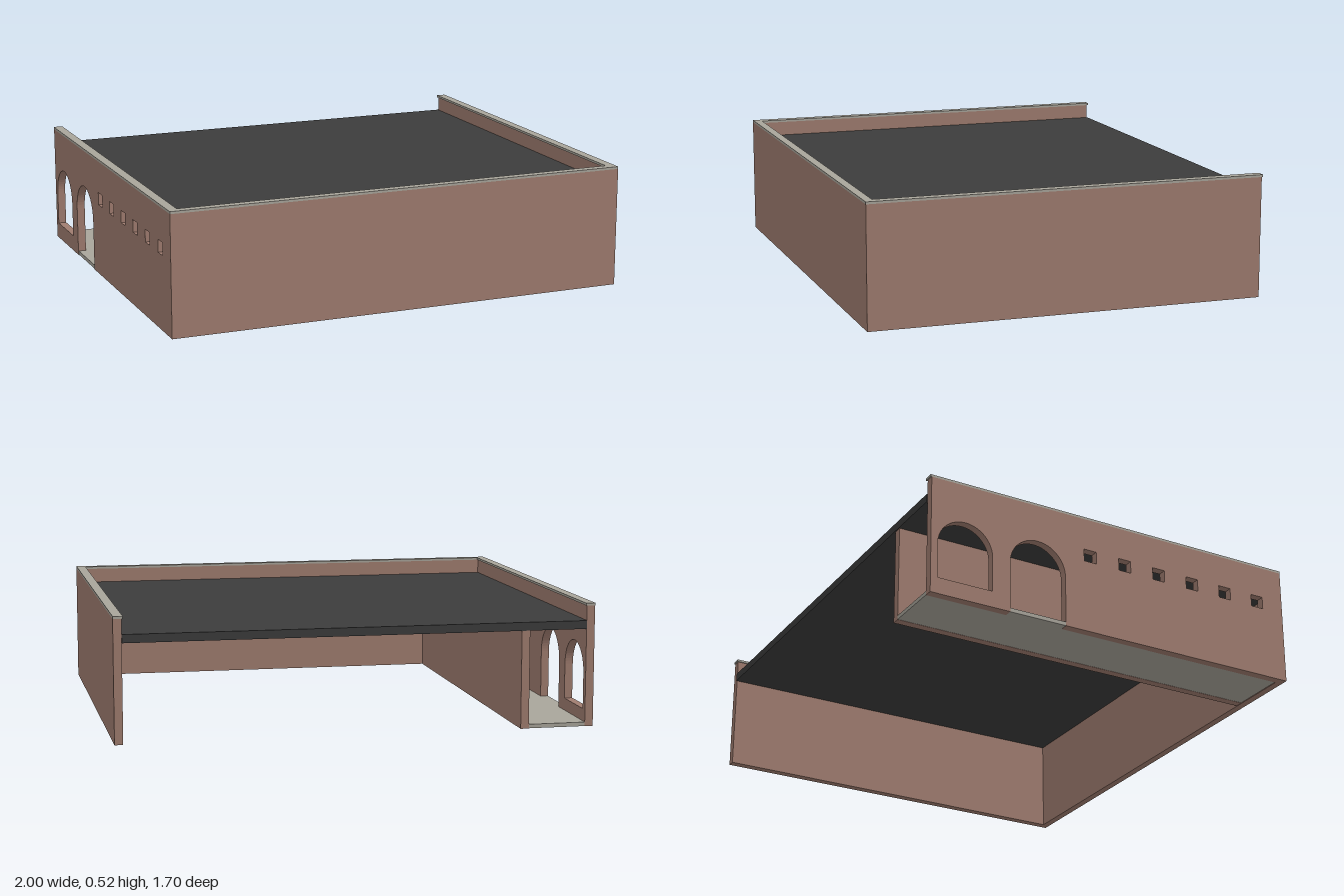
import * as THREE from 'three';

const X = 1, Z = 0.845, H = 0.52;   // half width, half depth, full height
const T = 0.035;                    // wall thickness
const CAP = 0.01;                   // coping height

const wallMat = new THREE.MeshStandardMaterial({ color: 0xa07d70 });
wallMat.name = 'brown wall';
const roofMat = new THREE.MeshStandardMaterial({ color: 0x3c3c3c });
roofMat.name = 'dark roof';
const stoneMat = new THREE.MeshStandardMaterial({ color: 0xa9a59b });
stoneMat.name = 'pale stone';

// Box given by its minimum and maximum corners
function block(name, mat, [x0, y0, z0], [x1, y1, z1]) {
  const mesh = new THREE.Mesh(new THREE.BoxGeometry(x1 - x0, y1 - y0, z1 - z0), mat);
  mesh.position.set((x0 + x1) / 2, (y0 + y1) / 2, (z0 + z1) / 2);
  mesh.name = name;
  return mesh;
}

// Side wall with a doorway, an arched window and a row of small windows
function arcadeWall() {
  const top = H - CAP, spring = 0.22;
  const door = [-Z + 0.355, -Z + 0.61];
  const arch = [-Z + 0.03, -Z + 0.275];
  const shape = new THREE.Shape();
  shape.moveTo(-Z, 0);
  shape.lineTo(door[0], 0);
  shape.lineTo(door[0], spring);
  shape.absarc((door[0] + door[1]) / 2, spring, (door[1] - door[0]) / 2, Math.PI, 0, true);
  shape.lineTo(door[1], 0);
  shape.lineTo(Z, 0);
  shape.lineTo(Z, top);
  shape.lineTo(-Z, top);
  shape.closePath();

  const opening = new THREE.Path();
  opening.moveTo(arch[0], 0.07);
  opening.lineTo(arch[0], spring);
  opening.absarc((arch[0] + arch[1]) / 2, spring, (arch[1] - arch[0]) / 2, Math.PI, 0, true);
  opening.lineTo(arch[1], 0.07);
  opening.closePath();
  shape.holes.push(opening);

  for (let i = 0; i < 6; i++) {
    const c = -Z + 0.73 + i * 0.166, y = 0.343, w = 0.029, h = 0.027;
    const hole = new THREE.Path();
    hole.moveTo(c - w, y - h);
    hole.lineTo(c - w, y + h);
    hole.lineTo(c + w, y + h);
    hole.lineTo(c + w, y - h);
    hole.closePath();
    shape.holes.push(hole);
  }

  const geo = new THREE.ExtrudeGeometry(shape, { depth: T, bevelEnabled: false, curveSegments: 16 });
  geo.rotateY(-Math.PI / 2);
  geo.translate(-X + T, 0, 0);
  const mesh = new THREE.Mesh(geo, wallMat);
  mesh.name = 'arcadeWall';
  return mesh;
}

export function createModel() {
  const group = new THREE.Group();
  group.name = 'building';
  const top = H - CAP;

  // Outer walls, open at the back
  group.add(
    arcadeWall(),
    block('sideWall', wallMat, [X - T, 0, -Z], [X, top, Z]),
    block('frontWall', wallMat, [-X + T, 0, Z - T + 0.003], [X - T, top, Z]),
  );

  // Corridor behind the arcade
  group.add(
    block('corridorWall', wallMat, [-0.722, 0, -Z], [-0.687, 0.412, Z - T]),
    block('corridorFloor', stoneMat, [-X + T, 0.001, -Z], [-0.722, 0.018, Z - T]),
    block('doorThreshold', stoneMat, [-X + 0.002, 0.001, -Z + 0.355], [-X + T, 0.018, -Z + 0.61]),
  );

  // Flat roof slab
  group.add(block('roofSlab', roofMat, [-X + T, 0.412, -Z - 0.004], [X - T, 0.447, Z - T + 0.003]));

  // Coping along the parapet
  for (const s of [-1, 1]) {
    const a = s * X, b = s * (X - 0.04);
    group.add(block('sideCoping', stoneMat, [Math.min(a, b), top, -Z - 0.005], [Math.max(a, b), H, Z]));
  }
  group.add(block('frontCoping', stoneMat, [-X + 0.04, top, Z - 0.036], [X - 0.04, H, Z]));

  return group;
}
